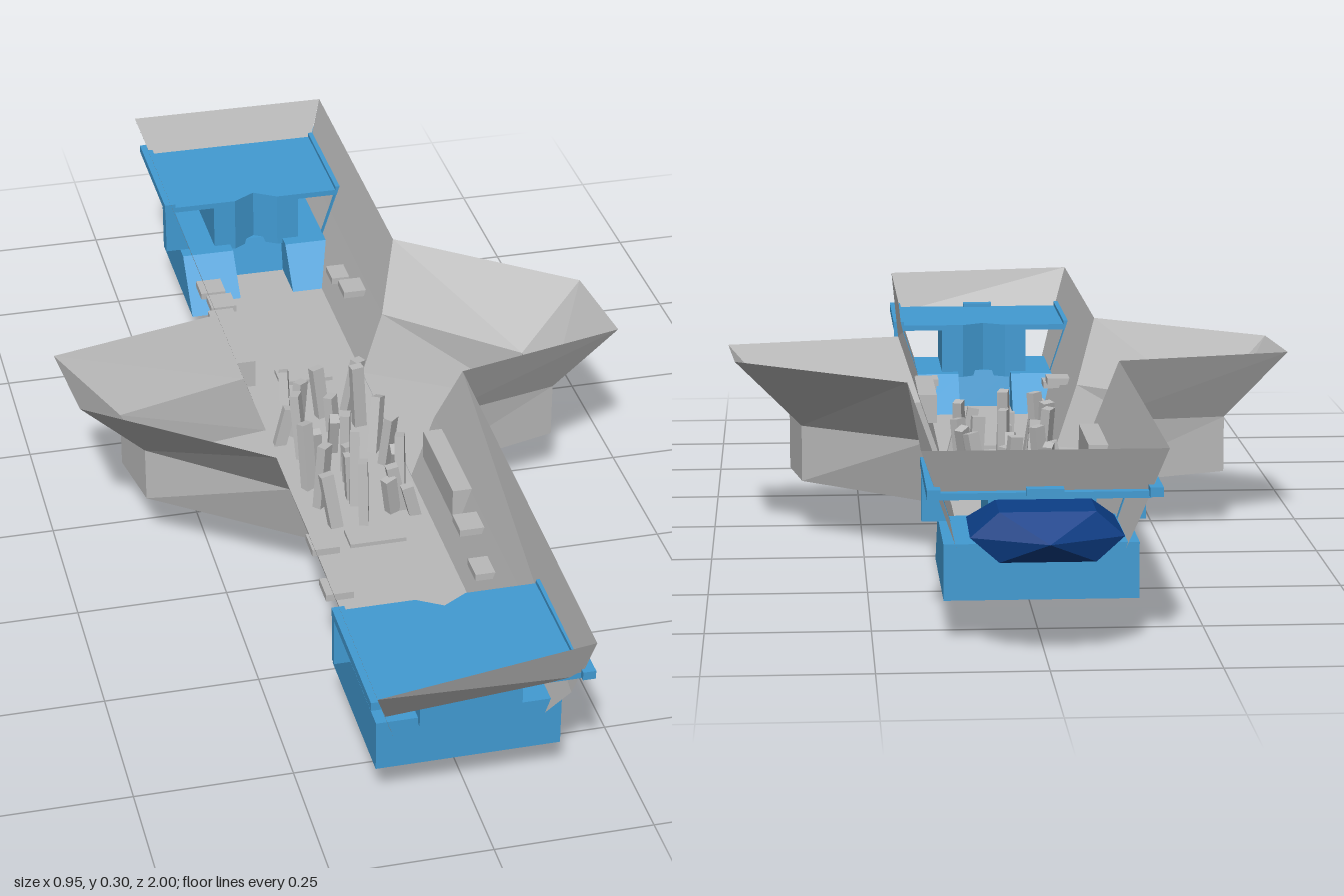
import * as THREE from 'three';
import { ConvexGeometry } from 'three/addons/geometries/ConvexGeometry.js';

const mat = (name, color) => {
  const m = new THREE.MeshStandardMaterial({ color, flatShading: true, side: THREE.DoubleSide });
  m.name = name;
  return m;
};

export function createModel() {
  const grey = mat('hull grey', 0xbababa);
  const blue = mat('bright blue', 0x429bd3);
  const navy = mat('dark blue', 0x0c3f88);
  const model = new THREE.Group();
  model.name = 'vessel';

  const add = (parent, name, geo, material) => {
    const m = new THREE.Mesh(geo, material);
    m.name = name;
    parent.add(m);
    return m;
  };
  const box = (parent, name, material, size, pos) => {
    const m = add(parent, name, new THREE.BoxGeometry(...size), material);
    m.position.set(...pos);
    return m;
  };
  // Surface between rows of points with equal counts
  const sheet = (parent, name, rows, material = grey) => {
    const v = [];
    for (let r = 0; r + 1 < rows.length; r++) {
      for (let i = 0; i + 1 < rows[r].length; i++) {
        const [a, b, c, d] = [rows[r][i], rows[r][i + 1], rows[r + 1][i + 1], rows[r + 1][i]];
        v.push(...a, ...b, ...c, ...a, ...c, ...d);
      }
    }
    const g = new THREE.BufferGeometry();
    g.setAttribute('position', new THREE.Float32BufferAttribute(v, 3));
    g.computeVertexNormals();
    return add(parent, name, g, material);
  };
  const shape = (pts) => new THREE.Shape(pts.map(([x, y]) => new THREE.Vector2(x, y)));

  // Trough floor and sloping side walls, open where the wings join
  const levels = [[0.18, 0.31], [0.143, 0.2], [0.105, 0.088]];
  const wall = (name, side, z0, z1, lean = 0) => sheet(model, name,
    levels.map(([x, y], i) => [[side * x, y, z0[i]], [side * (x - (i ? 0 : lean)), y, z1[i]]]));
  const back = [-0.905, -0.86, -0.8];
  wall('leftFrontWall', 1, [0.14, 0.1, 0.1], [0.935, 0.9, 0.82], 0.012);
  wall('leftBackWall', 1, [-0.33, -0.26, -0.25], back);
  wall('rightFrontWall', -1, [0.33, 0.26, 0.25], [0.995, 0.925, 0.82]);
  wall('rightBackWall', -1, [-0.14, -0.1, -0.1], back);
  sheet(model, 'floor', [
    [[-0.105, 0.088, -0.8], [-0.105, 0.088, 0.82]],
    [[0.105, 0.088, -0.8], [0.105, 0.088, 0.82]],
  ]);
  // Sloped end plates above the decks
  sheet(model, 'frontPlate', [
    [[-0.18, 0.31, 0.995], [0.168, 0.31, 0.935]],
    [[-0.154, 0.235, 0.94], [0.154, 0.235, 0.91]],
  ]);
  sheet(model, 'backPlate', [
    [[-0.18, 0.31, -0.905], [0.18, 0.31, -0.905]],
    [[-0.154, 0.235, -0.875], [0.154, 0.235, -0.875]],
  ]);

  // Two wings, one turned half round from the other
  for (const [name, turn] of [['leftWing', 0], ['rightWing', Math.PI]]) {
    const wing = new THREE.Group();
    wing.name = name;
    wing.rotation.y = turn;
    model.add(wing);
    const bottom = [[0.105, 0.09, -0.25], [0.35, 0.1, -0.08], [0.37, 0.1, 0.04], [0.105, 0.09, 0.1]];
    sheet(wing, 'wingWalls', [
      [[0.18, 0.31, -0.33], [0.46, 0.31, -0.11], [0.474, 0.31, 0.068], [0.18, 0.31, 0.14]],
      [[0.143, 0.2, -0.26], [0.35, 0.195, -0.08], [0.37, 0.195, 0.04], [0.143, 0.2, 0.1]],
      bottom,
    ]);
    sheet(wing, 'wingFloor', [[bottom[0], bottom[1]], [bottom[3], bottom[2]]]);
    // Long locker set through the wall beside the wing
    box(wing, 'wallLocker', grey, [0.045, 0.05, 0.19], [0.135, 0.18, 0.24]);
  }

  // Bright end stations: block, deck, pillar and side brackets
  for (const [name, turn, shift] of [['frontStation', 0, 0], ['backStation', Math.PI, 0.02]]) {
    const st = new THREE.Group();
    st.name = name;
    st.rotation.y = turn;
    st.position.z = shift;
    model.add(st);
    // Lower block: long sides with a gap at the inner end
    const prism = (part, pts, x0, x1) => {
      const g = new THREE.ExtrudeGeometry(shape(pts), { depth: x1 - x0, bevelEnabled: false });
      g.rotateY(-Math.PI / 2).translate(x1, 0, 0);
      add(st, part, g, blue);
    };
    const side = [[0.85, 0.07], [0.85, 0.155], [0.65, 0.155], [0.57, 0.07]];
    prism('blockSide', side, 0.05, 0.145);
    prism('blockSide', side, -0.145, -0.05);
    prism('blockMiddle', [[0.85, 0.07], [0.85, 0.155], [0.69, 0.155], [0.67, 0.07]], -0.05, 0.05);
    // Deck and pillar share a notched inner edge
    const slab = (part, w, z1, top, depth) => {
      const pts = [[-w, z1], [-w, 0.675], [-0.04, 0.675], [0, 0.7], [0.04, 0.675], [w, 0.675], [w, z1]];
      const g = new THREE.ExtrudeGeometry(shape(pts), { depth, bevelEnabled: false });
      g.rotateX(Math.PI / 2).translate(0, top, 0);
      add(st, part, g, blue);
    };
    slab('deck', 0.156, 0.915, 0.245, 0.01);
    slab('pillar', 0.08, 0.86, 0.235, 0.09);
    box(st, 'deckLatch', blue, [0.055, 0.012, 0.02], [0, 0.246, 0.915]);
    for (const s of [-1, 1]) {
      box(st, 'bracketRail', blue, [0.02, 0.014, 0.25], [s * 0.162, 0.245, 0.8]);
      // Upright that fills the space outside the sloping wall
      const g = new THREE.ExtrudeGeometry(
        shape([[s * 0.127, 0.155], [s * 0.171, 0.155], [s * 0.171, 0.25], [s * 0.158, 0.25]]),
        { depth: 0.012, bevelEnabled: false });
      g.translate(0, 0, 0.676);
      add(st, 'bracketUpright', g, blue);
    }
  }

  // Faceted engine at the back
  const pts = [new THREE.Vector3(0, 0.19, -1)];
  for (const s of [-1, 1]) {
    for (const [x, y, z] of [[0.11, 0.19, -0.8], [0.112, 0.19, -0.945], [0.07, 0.228, -0.86],
      [0.07, 0.228, -0.95], [0.07, 0.155, -0.79], [0.07, 0.155, -0.955]]) {
      pts.push(new THREE.Vector3(s * x, y, z));
    }
  }
  add(model, 'engine', new ConvexGeometry(pts), navy);

  // Small plates on the walls and floor
  for (const s of [-1, 1]) {
    for (const z of [-0.485, -0.39, 0.405, 0.5]) {
      const y = Math.abs(z) > 0.45 ? 0.162 : 0.185;
      box(model, 'wallStep', grey, [0.045, 0.012, 0.048], [s * 0.122, y, z]);
    }
    box(model, 'floorHatch', grey, [0.095, 0.008, 0.048], [0, 0.091, s * 0.265]);
  }

  // Loose tilted beams through the middle of the floor
  let seed = 11;
  const rnd = () => (seed = (seed * 16807) % 2147483647) / 2147483647;
  for (let i = 0; i < 21; i++) {
    const z = -0.13 + Math.floor(i / 3) * 0.056 + (rnd() - 0.5) * 0.02;
    const x = (i % 3 - 1) * 0.06 + (rnd() - 0.5) * 0.03;
    const h = 0.1 + rnd() * 0.06;
    const beam = box(model, 'beam', grey, [0.022, h, 0.016], [x, 0.055 + h / 2, z]);
    beam.rotation.set((rnd() - 0.5) * 0.5, rnd() * 1.5, (rnd() - 0.5) * 0.5);
  }
  // Longest hanging beams
  for (const [x, z, low, tilt] of [[0.085, 0.21, 0.006, 0.25], [-0.09, -0.055, 0.02, -0.25],
    [-0.01, 0.14, 0.035, 0.05], [0.06, 0.19, 0.035, 0.2]]) {
    box(model, 'hangingBeam', grey, [0.02, 0.14, 0.016], [x, low + 0.07, z]).rotation.z = tilt;
  }
  return model;
}
